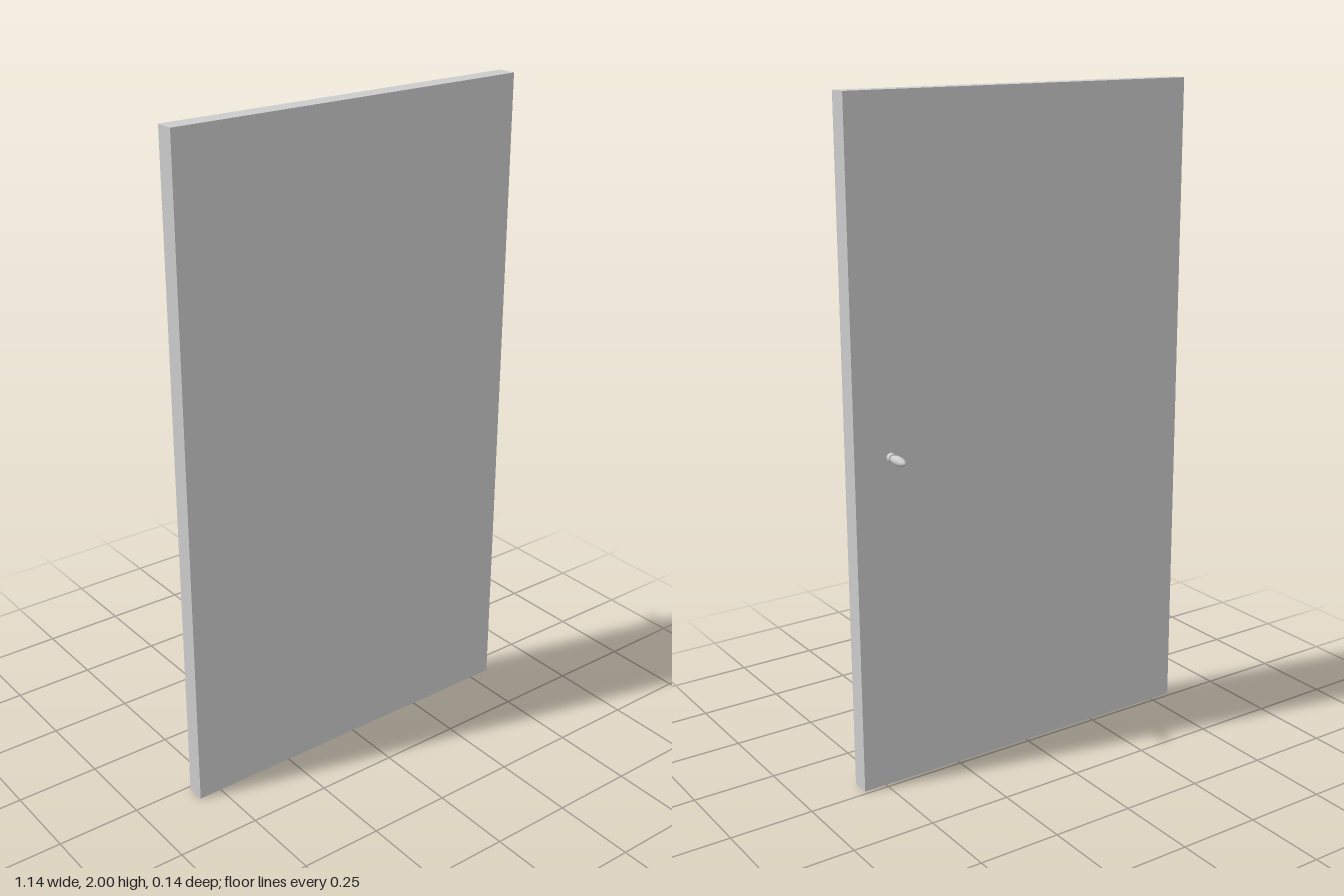
import * as THREE from 'three';

export function createModel() {
  const door = new THREE.Group();
  door.name = 'door';
  const material = new THREE.MeshStandardMaterial({ color: 0xcccccc });

  const addPart = (name, geometry, x, y, z) => {
    const mesh = new THREE.Mesh(geometry, material);
    mesh.name = name;
    mesh.position.set(x, y, z);
    door.add(mesh);
  };

  // Plain slab
  addPart('doorPanel', new THREE.BoxGeometry(1.142, 2, 0.056), 0, 1, 0.04);

  // Handle on the back: a short collar carrying an elongated knob
  const handleX = 0.457;
  const collar = new THREE.CylinderGeometry(0.0125, 0.014, 0.014, 32).rotateX(-Math.PI / 2);
  addPart('handleCollar', collar, handleX, 1, 0.006);

  const knob = new THREE.SphereGeometry(1, 32, 24).rotateX(Math.PI / 2).scale(0.0135, 0.0135, 0.039);
  addPart('handleKnob', knob, handleX, 1, -0.029);

  return door;
}
